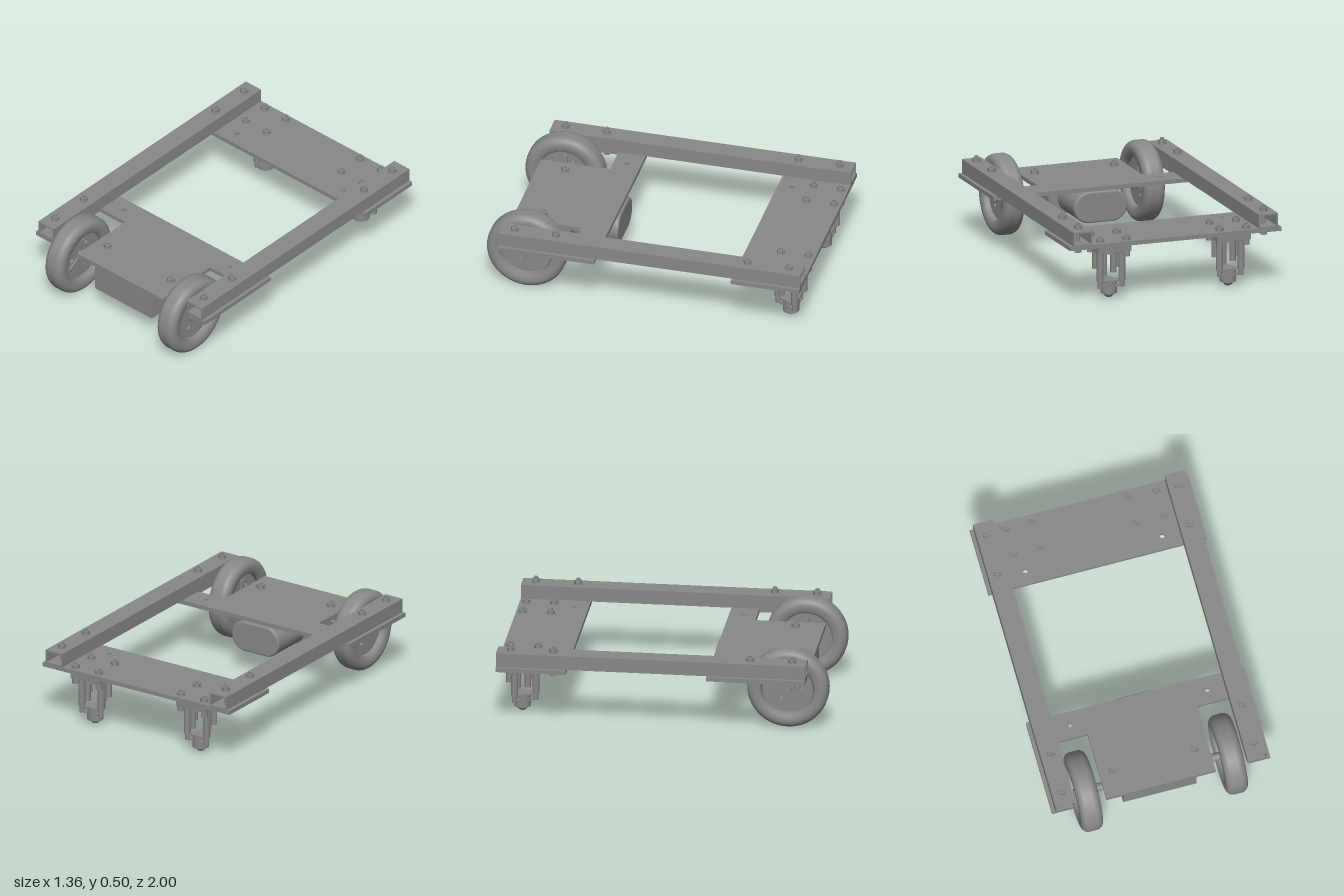
import * as THREE from 'three';

const GREY = 0x888888;
const mat = new THREE.MeshStandardMaterial({ color: GREY });
const flat = new THREE.MeshStandardMaterial({ color: GREY, flatShading: true });
const twoSided = new THREE.MeshStandardMaterial({ color: GREY, side: THREE.DoubleSide });

function add(parent, name, geo, x = 0, y = 0, z = 0, material = mat) {
  const m = new THREE.Mesh(geo, material);
  m.name = name;
  m.position.set(x, y, z);
  parent.add(m);
  return m;
}

function group(parent, name) {
  const g = new THREE.Group();
  g.name = name;
  parent.add(g);
  return g;
}

// Upright cylinder between two heights
function rod(parent, name, r, y0, y1, x, z, sides = 20) {
  return add(parent, name, new THREE.CylinderGeometry(r, r, y1 - y0, sides), x, (y0 + y1) / 2, z, sides < 10 ? flat : mat);
}

// Cylinder lying along x between two positions
function axleRod(parent, name, r, x0, x1) {
  const geo = new THREE.CylinderGeometry(r, r, x1 - x0, 24).rotateZ(Math.PI / 2);
  return add(parent, name, geo, (x0 + x1) / 2, 0, 0);
}

function hole(shape, x, y, r) {
  const p = new THREE.Path();
  p.absarc(x, y, r, 0, Math.PI * 2, true);
  shape.holes.push(p);
}

function polygon(points) {
  return new THREE.Shape(points.map(([x, y]) => new THREE.Vector2(x, y)));
}

// Horizontal plate drawn in x and z, with its top at height y
function plate(parent, name, shape, thickness, y) {
  const geo = new THREE.ExtrudeGeometry(shape, { depth: thickness, bevelEnabled: false, curveSegments: 16 });
  geo.rotateX(Math.PI / 2);
  return add(parent, name, geo, 0, y, 0);
}

// Bolt with a round head below and a hex nut above
function bolt(parent, x, z, under, over) {
  const g = group(parent, 'bolt');
  rod(g, 'boltHead', 0.021, under - 0.033, under, x, z);
  rod(g, 'boltShaft', 0.012, under, over + 0.037, x, z, 14);
  rod(g, 'washer', 0.026, over, over + 0.004, x, z);
  rod(g, 'nut', 0.025, over + 0.004, over + 0.024, x, z, 6);
}

function rail(parent, s) {
  const w = 0.0615, h = 0.0435, t = 0.009;
  const shape = polygon([[-w, -h], [w, -h], [w, h], [-w, h]]);
  const a = w - t, b = h - t;
  shape.holes.push(new THREE.Path([[-a, -b], [-a, b], [a, b], [a, -b]].map(p => new THREE.Vector2(...p))));
  const geo = new THREE.ExtrudeGeometry(shape, { depth: 1.88, bevelEnabled: false });
  add(parent, 'sideRail', geo, s * 0.599, 0.412, -1);
}

function wheel(parent, s) {
  const g = group(parent, 'wheel');
  g.position.set(s * 0.4525, 0.25, 0.7525);
  if (s < 0) g.rotation.y = Math.PI;

  // Rounded tyre and rim ring, spun around the axle
  const pts = [[0.155, -0.05], [0.17, -0.0675]].map(p => new THREE.Vector2(...p));
  for (const [cy, from] of [[-0.0225, -90], [0.0225, 0]]) {
    for (let i = 0; i <= 8; i++) {
      const a = THREE.MathUtils.degToRad(from + i * 11.25);
      pts.push(new THREE.Vector2(0.2025 + 0.045 * Math.cos(a), cy + 0.045 * Math.sin(a)));
    }
  }
  pts.push(new THREE.Vector2(0.17, 0.0675), new THREE.Vector2(0.155, 0.05), new THREE.Vector2(0.155, -0.05));
  add(g, 'tyre', new THREE.LatheGeometry(pts, 72).rotateZ(-Math.PI / 2), 0, 0, 0, twoSided);

  // Web disc with three holes
  const disc = new THREE.Shape();
  disc.absarc(0, 0, 0.157, 0, Math.PI * 2);
  for (let i = 0; i < 3; i++) {
    const a = i * Math.PI * 2 / 3;
    hole(disc, 0.085 * Math.cos(a), 0.085 * Math.sin(a), 0.014);
  }
  const web = new THREE.ExtrudeGeometry(disc, { depth: 0.05, bevelEnabled: false, curveSegments: 32 });
  add(g, 'wheelWeb', web.translate(0, 0, -0.025).rotateY(Math.PI / 2));

  // Three-armed flange on the inner side
  for (let i = 0; i < 3; i++) {
    const arm = new THREE.BoxGeometry(0.012, 0.035, 0.12).translate(-0.03, 0, 0.06);
    add(g, 'flangeArm', arm).rotation.x = i * Math.PI * 2 / 3 + Math.PI / 6;
  }
  axleRod(g, 'hubBoss', 0.042, -0.05, 0.045);
  axleRod(g, 'axleEnd', 0.026, 0.045, 0.06);
  axleRod(g, 'hubCollar', 0.026, -0.115, -0.05);
  axleRod(g, 'axle', 0.01, -0.23, -0.115);
}

function caster(parent, s) {
  const g = group(parent, 'ballCaster');
  g.position.set(s * 0.385, 0, -0.872);
  add(g, 'casterMount', new THREE.BoxGeometry(0.215, 0.04, 0.215), 0, 0.323, 0);
  rod(g, 'casterFlange', 0.098, 0.285, 0.303, 0, 0, 6);
  for (const x of [-0.085, 0.085]) for (const z of [-0.085, 0.085]) bolt(g, x, z, 0.303, 0.368);

  // Alternating long standoffs and short screws around the ball
  const foot = [];
  for (let i = 0; i < 6; i++) {
    const a = i * Math.PI / 3;
    const x = 0.081 * Math.sin(a), z = 0.081 * Math.cos(a);
    if (i % 2 === 0) {
      rod(g, 'standoff', 0.021, 0.112, 0.285, x, z);
      rod(g, 'standoffScrew', 0.015, 0.07, 0.112, x, z, 14);
      foot.push([x * 1.22, z * 1.22]);
    } else {
      rod(g, 'shortScrew', 0.019, 0.175, 0.285, x, z);
    }
  }
  // Two triangular foot plates with trimmed corners
  const corners = [];
  foot.forEach((p, i) => {
    const prev = foot[(i + 2) % 3], next = foot[(i + 1) % 3];
    for (const q of [prev, next]) corners.push([p[0] * 0.87 + q[0] * 0.13, p[1] * 0.87 + q[1] * 0.13]);
  });
  for (const y of [0.084, 0.114]) plate(g, 'footPlate', polygon(corners), 0.012, y);
  rod(g, 'ballHousing', 0.05, 0.028, 0.102, 0, 0, 28);
  add(g, 'ball', new THREE.SphereGeometry(0.035, 24, 16), 0, 0.035, 0);
}

export function createModel() {
  const model = new THREE.Group();
  model.name = 'wheeledChassis';

  // Front deck, notched for the wheels
  const front = polygon([
    [-0.682, 0.28], [0.682, 0.28], [0.682, 0.879], [0.55, 0.879], [0.55, 0.45], [0.342, 0.45],
    [0.342, 0.879], [-0.342, 0.879], [-0.342, 0.45], [-0.55, 0.45], [-0.55, 0.879], [-0.682, 0.879],
  ]);
  // Rear deck
  const rear = polygon([[-0.682, -1], [0.682, -1], [0.682, -0.574], [-0.682, -0.574]]);
  for (const s of [-1, 1]) {
    hole(front, s * 0.428, 0.365, 0.015);
    hole(rear, s * 0.428, -0.66, 0.015);
  }
  plate(model, 'frontDeck', front, 0.026, 0.369);
  plate(model, 'rearDeck', rear, 0.026, 0.369);

  for (const s of [-1, 1]) {
    rail(model, s);
    for (const z of [-0.916, -0.658, 0.537, 0.794]) bolt(model, s * 0.599, z, 0.343, 0.4555);
    bolt(model, s * 0.256, 0.707, 0.343, 0.369);
    wheel(model, s);
    caster(model, s);
  }

  // Gearbox under the front deck, set back from its edge
  add(model, 'gearbox', new THREE.BoxGeometry(0.458, 0.194, 0.305), 0, 0.247, 0.6975);

  // Motor with an oblong section behind the gearbox
  const oblong = new THREE.Shape();
  oblong.absarc(0.075, 0, 0.085, -Math.PI / 2, Math.PI / 2);
  oblong.absarc(-0.075, 0, 0.085, Math.PI / 2, Math.PI * 1.5);
  const motor = new THREE.ExtrudeGeometry(oblong, {
    depth: 0.27, bevelSize: 0.012, bevelThickness: 0.012, bevelSegments: 3, curveSegments: 24,
  });
  add(model, 'motor', motor, -0.003, 0.2465, 0.277);

  return model;
}
